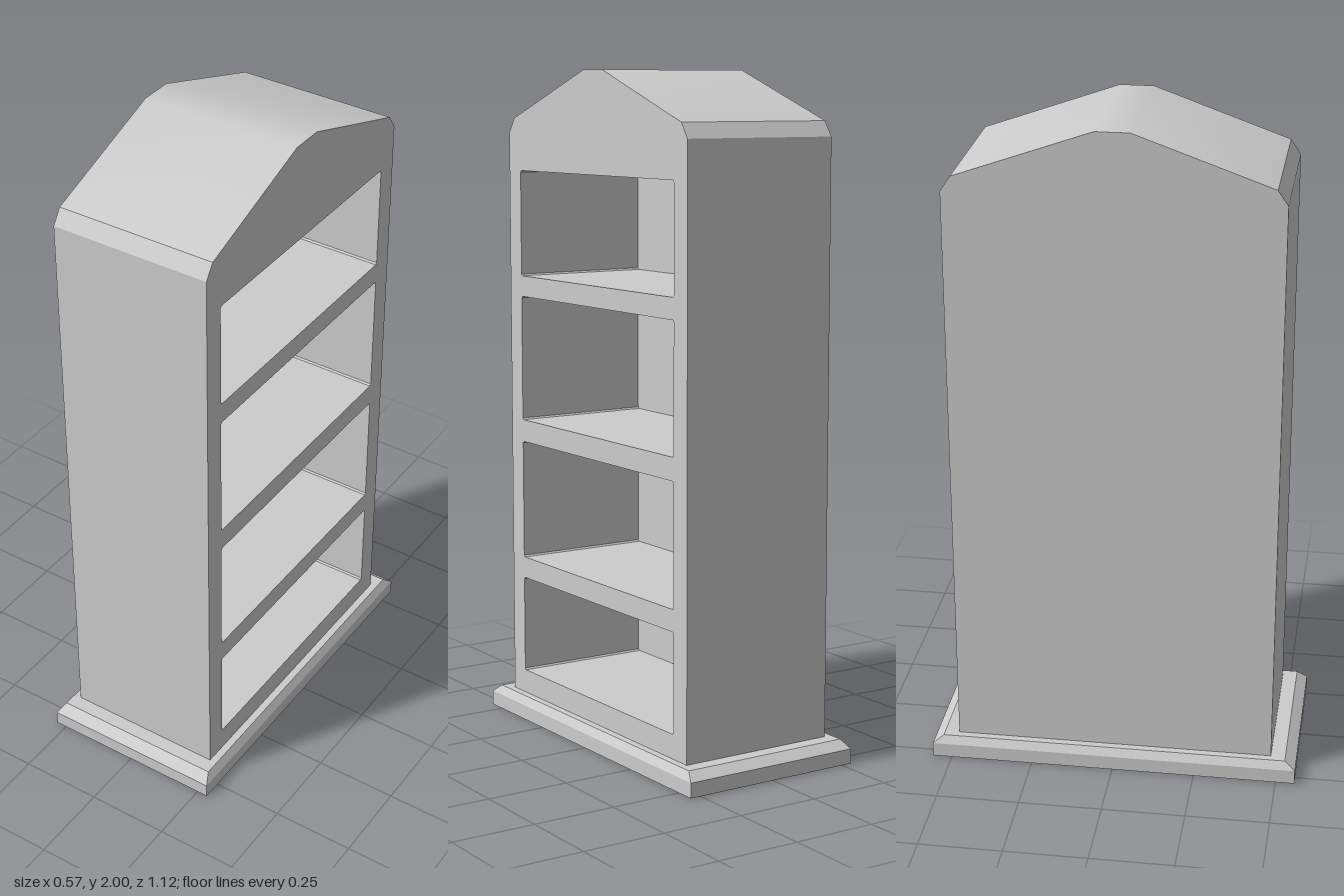
import * as THREE from 'three';
import { toCreasedNormals } from 'three/addons/utils/BufferGeometryUtils.js';

const material = new THREE.MeshStandardMaterial({ color: 0xcccccc });

const HALF_X = 0.245, HALF_Z = 0.482;   // cabinet body
const BODY_BOTTOM = 0.068, BODY_TOP = 1.77;
const BACK_X = -0.18;                   // inner face of the back panel
const OPENING_HALF = 0.416;
const OPENINGS = [[0.14, 0.437], [0.502, 0.867], [0.935, 1.317], [1.38, 1.7]];

function add(group, name, geometry, x = 0, y = 0, z = 0) {
  const mesh = new THREE.Mesh(geometry, material);
  mesh.name = name;
  mesh.position.set(x, y, z);
  group.add(mesh);
}

// Extrude a shape drawn in (z, y) along x
function extrudeX(shape, fromX, toX) {
  const g = new THREE.ExtrudeGeometry(shape, { depth: toX - fromX, bevelEnabled: false });
  return g.rotateY(Math.PI / 2).translate(fromX, 0, 0);
}

// Rectangle with tiny clipped corners
function clippedRect(half, y0, y1, c) {
  return [[-half + c, y0], [half - c, y0], [half, y0 + c], [half, y1 - c],
    [half - c, y1], [-half + c, y1], [-half, y1 - c], [-half, y0 + c]]
    .map(([a, b]) => new THREE.Vector2(a, b));
}

export function createModel() {
  const group = new THREE.Group();
  group.name = 'bookcase';

  // Plinth with a bevelled upper edge
  add(group, 'plinth', new THREE.BoxGeometry(0.566, 0.044, 1.116), 0, 0.022);
  const bevel = new THREE.BoxGeometry(0.566, 0.024, 1.116).toNonIndexed();
  const p = bevel.attributes.position;
  for (let i = 0; i < p.count; i++) {
    if (p.getY(i) > 0) {
      p.setX(i, Math.sign(p.getX(i)) * 0.268);
      p.setZ(i, Math.sign(p.getZ(i)) * 0.526);
    }
  }
  bevel.computeVertexNormals();
  add(group, 'plinthBevel', bevel, 0, 0.056);

  // Sides and shelves in one carcass with four compartments open to +x
  const frame = new THREE.Shape([
    new THREE.Vector2(-HALF_Z, BODY_BOTTOM), new THREE.Vector2(HALF_Z, BODY_BOTTOM),
    new THREE.Vector2(HALF_Z, BODY_TOP), new THREE.Vector2(-HALF_Z, BODY_TOP),
  ]);
  for (const [y0, y1] of OPENINGS) {
    frame.holes.push(new THREE.Path(clippedRect(OPENING_HALF, y0, y1, 0.005)));
  }
  add(group, 'shelfCarcass', extrudeX(frame, BACK_X, HALF_X));

  // Closed back
  add(group, 'backPanel',
    new THREE.BoxGeometry(BACK_X + HALF_X, BODY_TOP - BODY_BOTTOM, HALF_Z * 2),
    (BACK_X - HALF_X) / 2, (BODY_TOP + BODY_BOTTOM) / 2);

  // Gabled top with clipped eaves and a softened ridge
  const half = [[HALF_Z, BODY_TOP], [HALF_Z, 1.813], [0.452, 1.857], [0.05, 2]];
  const outline = [...half, ...half.map(([z, y]) => [-z, y]).reverse()];
  const gable = new THREE.Shape(outline.map(([z, y]) => new THREE.Vector2(z, y)));
  add(group, 'gabledTop', toCreasedNormals(extrudeX(gable, -HALF_X, HALF_X), 0.4));

  return group;
}
